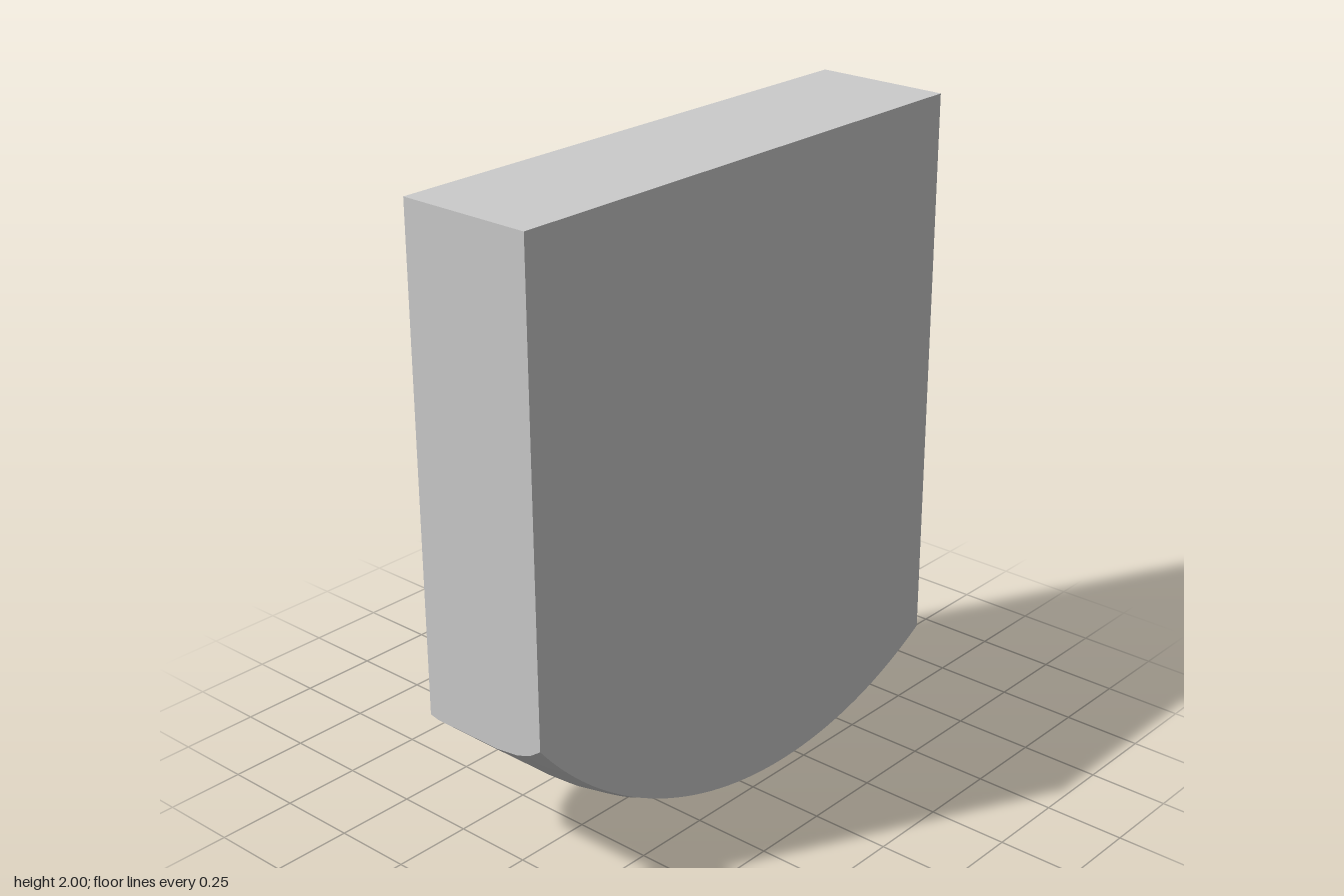
import * as THREE from 'three';
import { toCreasedNormals } from 'three/addons/utils/BufferGeometryUtils.js';

const HALF_W = 0.88, HALF_D = 0.22, TOP = 2, COLUMNS = 44;

// Height of a polyline of [x, y] points at a given x
function heightAt(line, x) {
  let i = 0;
  while (i < line.length - 2 && x > line[i + 1][0]) i++;
  const [x0, y0] = line[i], [x1, y1] = line[i + 1];
  return y0 + (y1 - y0) * (x - x0) / (x1 - x0);
}

// Lower outlines: the rounded underside and the coarser back edge
const UNDERSIDE = [[-0.88, 0.455], [-0.66, 0.26], [-0.49, 0.15], [-0.29, 0.06], [-0.05, 0.005],
  [0.05, 0], [0.38, 0], [0.63, 0.06], [0.88, 0.173]];
const BACK_EDGE = [[-0.88, 0.462], [-0.69, 0.283], [-0.49, 0.15], [-0.36, 0.09], [-0.17, 0.032],
  [0.52, 0.047], [0.88, 0.185]];

// Front edge: a smooth arc lowest right of centre
function frontEdge(x) {
  const r = 1.365, d = x - 0.18;
  return 0.006 + r - Math.sqrt(r * r - d * d);
}

// Cross-section at x: top, front edge, softened underside, back edge, as [z, y]
function section(x) {
  const front = frontEdge(x), mid = Math.min(heightAt(UNDERSIDE, x), front);
  const back = Math.max(heightAt(BACK_EDGE, x), mid);
  return [
    [-HALF_D, TOP], [HALF_D, TOP], [HALF_D, front],
    [0.18, mid + (front - mid) * 0.5], [0.13, mid + (front - mid) * 0.18], [0.05, mid],
    [-0.19, mid], [-HALF_D, back],
  ];
}

function slabGeometry() {
  const rings = [];
  for (let i = 0; i <= COLUMNS; i++) {
    const x = -HALF_W + 2 * HALF_W * i / COLUMNS;
    rings.push(section(x).map(([z, y]) => [x, y, z]));
  }
  const pos = [];
  const tri = (a, b, c) => pos.push(...a, ...b, ...c);
  const n = rings[0].length;
  // Skin between neighbouring sections
  for (let i = 0; i < COLUMNS; i++) {
    for (let j = 0; j < n; j++) {
      const k = (j + 1) % n, p = rings[i], q = rings[i + 1];
      tri(p[j], p[k], q[k]);
      tri(p[j], q[k], q[j]);
    }
  }
  // Flat ends
  const first = rings[0], last = rings[COLUMNS];
  for (let j = 1; j < n - 1; j++) {
    tri(last[0], last[j], last[j + 1]);
    tri(first[0], first[j + 1], first[j]);
  }
  const geo = new THREE.BufferGeometry();
  geo.setAttribute('position', new THREE.Float32BufferAttribute(pos, 3));
  return toCreasedNormals(geo, 0.4);
}

export function createModel() {
  const group = new THREE.Group();
  const slab = new THREE.Mesh(slabGeometry(), new THREE.MeshStandardMaterial({ color: 0xcccccc }));
  slab.name = 'roundedSlab';
  group.add(slab);
  return group;
}
